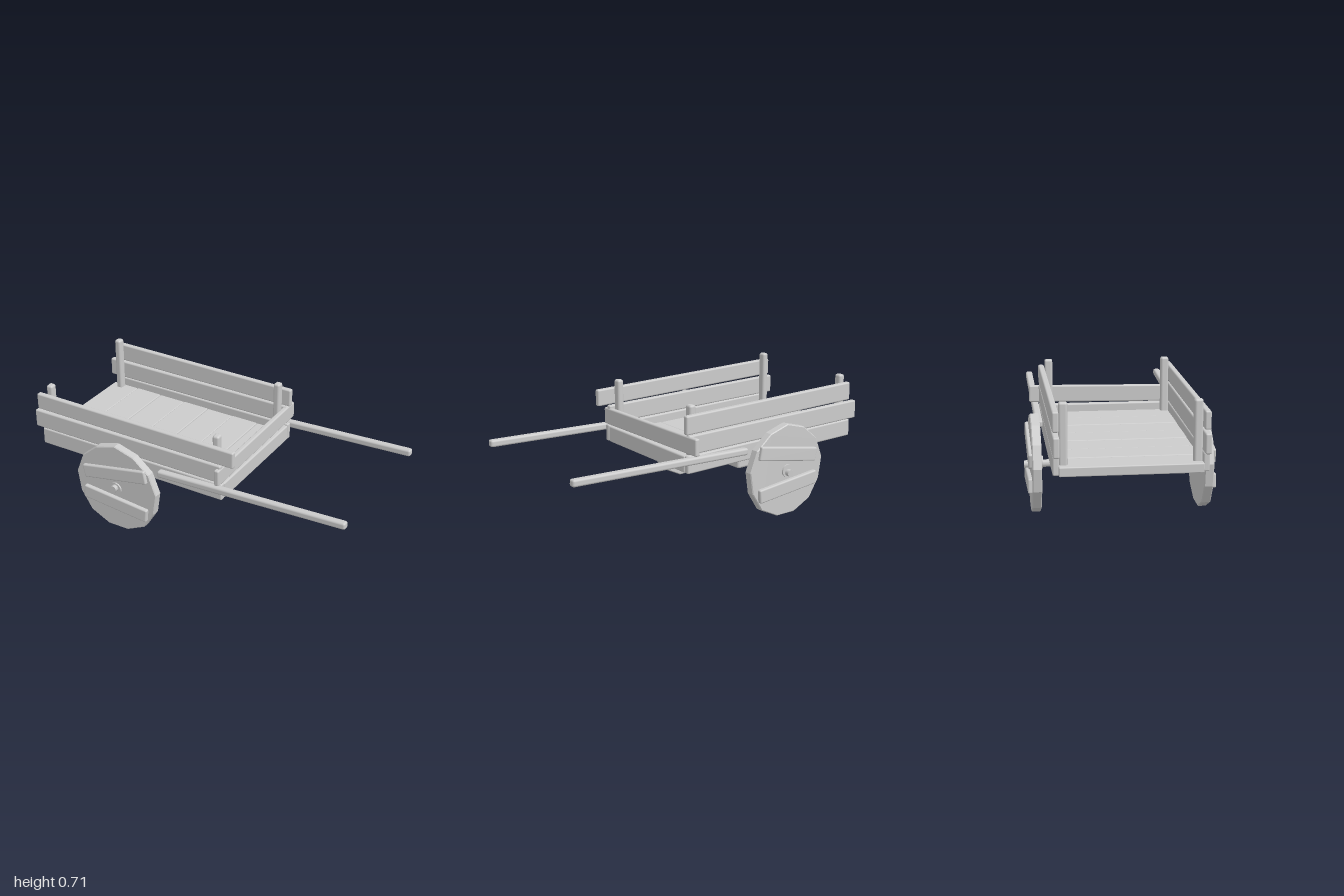
import * as THREE from 'three';
import { RoundedBoxGeometry } from 'three/addons/geometries/RoundedBoxGeometry.js';

const wood = new THREE.MeshStandardMaterial({ color: 0xcccccc });

function add(parent, name, geometry, x = 0, y = 0, z = 0) {
  const mesh = new THREE.Mesh(geometry, wood);
  mesh.name = name;
  mesh.position.set(x, y, z);
  parent.add(mesh);
  return mesh;
}

// Softly worn timber filling the given ranges
function beam(parent, name, [x0, x1], [y0, y1], [z0, z1], r = 0.009) {
  const geo = new RoundedBoxGeometry(x1 - x0, y1 - y0, z1 - z0, 2, r);
  return add(parent, name, geo, (x0 + x1) / 2, (y0 + y1) / 2, (z0 + z1) / 2);
}

function rod(parent, name, radius, length, z, sides = 12) {
  const geo = new THREE.CylinderGeometry(radius, radius, length, sides).rotateX(Math.PI / 2);
  return add(parent, name, geo, 0, 0, z);
}

// Rough-cut wheel disc with two battens; outer face is +z before placing on side s
function makeWheel(name, s) {
  const wheel = new THREE.Group();
  wheel.name = name;
  const sides = 13, bevel = 0.005;
  const outline = [];
  for (let i = 0; i < sides; i++) {
    const a = Math.PI / 2 + (i / sides) * Math.PI * 2;
    const r = 0.263 + 0.003 * Math.cos(i * 2.4);
    outline.push(new THREE.Vector2(s * r * Math.cos(a), r * Math.sin(a)));
  }
  const disc = new THREE.ExtrudeGeometry(new THREE.Shape(outline), {
    depth: 0.04, bevelEnabled: true, bevelSize: bevel, bevelThickness: bevel, bevelSegments: 1,
  });
  add(wheel, 'disc', disc, 0, 0, -0.02);
  const upper = beam(wheel, 'upperBatten', [-0.212, 0.212], [0.06, 0.14], [0.016, 0.044]);
  upper.rotation.z = 0.19 * s;
  const lower = beam(wheel, 'lowerBatten', [-0.212, 0.212], [-0.132, -0.052], [0.016, 0.048]);
  lower.rotation.z = -0.09 * s;
  // Hub collars on both faces
  rod(wheel, 'innerCollar', 0.036, 0.02, -0.033);
  rod(wheel, 'outerCollar', 0.038, 0.012, 0.028);
  wheel.position.z = s * 0.454;
  wheel.rotation.y = s > 0 ? 0 : Math.PI;
  return wheel;
}

export function createModel() {
  const cart = new THREE.Group();
  cart.name = 'handCart';

  // Floor of seven crosswise planks
  const step = 0.17, start = -0.975;
  for (let i = 0; i < 7; i++) {
    const x = start + i * step;
    beam(cart, 'floorPlank', [x, x + step - 0.001], [0.355, 0.405 + (i % 2) * 0.002], [-0.365, 0.365], 0.006);
  }

  // Front end: rail at floor height and a slightly tilted board above
  beam(cart, 'endRail', [0.213, 0.25], [0.355, 0.45], [-0.362, 0.362]);
  const endBoard = beam(cart, 'endBoard', [0.213, 0.243], [0.459, 0.557], [-0.452, 0.417]);
  endBoard.rotation.x = 0.016;

  // Sides: floor rail, two boards, two posts and a pull handle each
  for (const s of [1, -1]) {
    const side = new THREE.Group();
    side.name = s > 0 ? 'frontSide' : 'backSide';
    cart.add(side);
    const depth = s > 0 ? [0.362, 0.395] : [-0.395, -0.362];
    beam(side, 'floorRail', [-0.953, 0.25], [0.355, 0.455], depth);
    const low = beam(side, 'lowerBoard', [-1, 0.24], [0.458, 0.565], depth);
    low.rotation.z = 0.004;
    const length = s > 0 ? [-0.978, 0.318] : [-0.948, 0.258];
    beam(side, 'upperBoard', length, s > 0 ? [0.576, 0.673] : [0.574, 0.68], depth);
    for (const x of [-0.913, 0.19]) {
      const z = s > 0 ? [0.316, 0.362] : [-0.362, -0.316];
      const post = beam(side, 'post', [x - 0.02, x + 0.02], [0.385, 0.724], z, 0.013);
      post.rotation.y = 0.06 * s;
    }
    const handle = beam(side, 'handle', [-0.142, 1], [0.425, 0.465], [s * 0.415 - 0.021, s * 0.415 + 0.021], 0.012);
    handle.rotation.z = 0.045;
  }

  // Axle, its block under the floor, and the wheels
  const running = new THREE.Group();
  running.name = 'wheelsAndAxle';
  running.position.set(-0.388, 0.272, 0);
  cart.add(running);
  const axle = rod(running, 'axle', 0.021, 1.024, 0, 8);
  axle.rotation.x = -0.018;
  beam(running, 'axleBlock', [-0.13, 0.115], [-0.047, 0.095], [-0.19, 0.19], 0.014);
  running.add(makeWheel('frontWheel', 1), makeWheel('backWheel', -1));

  return cart;
}
